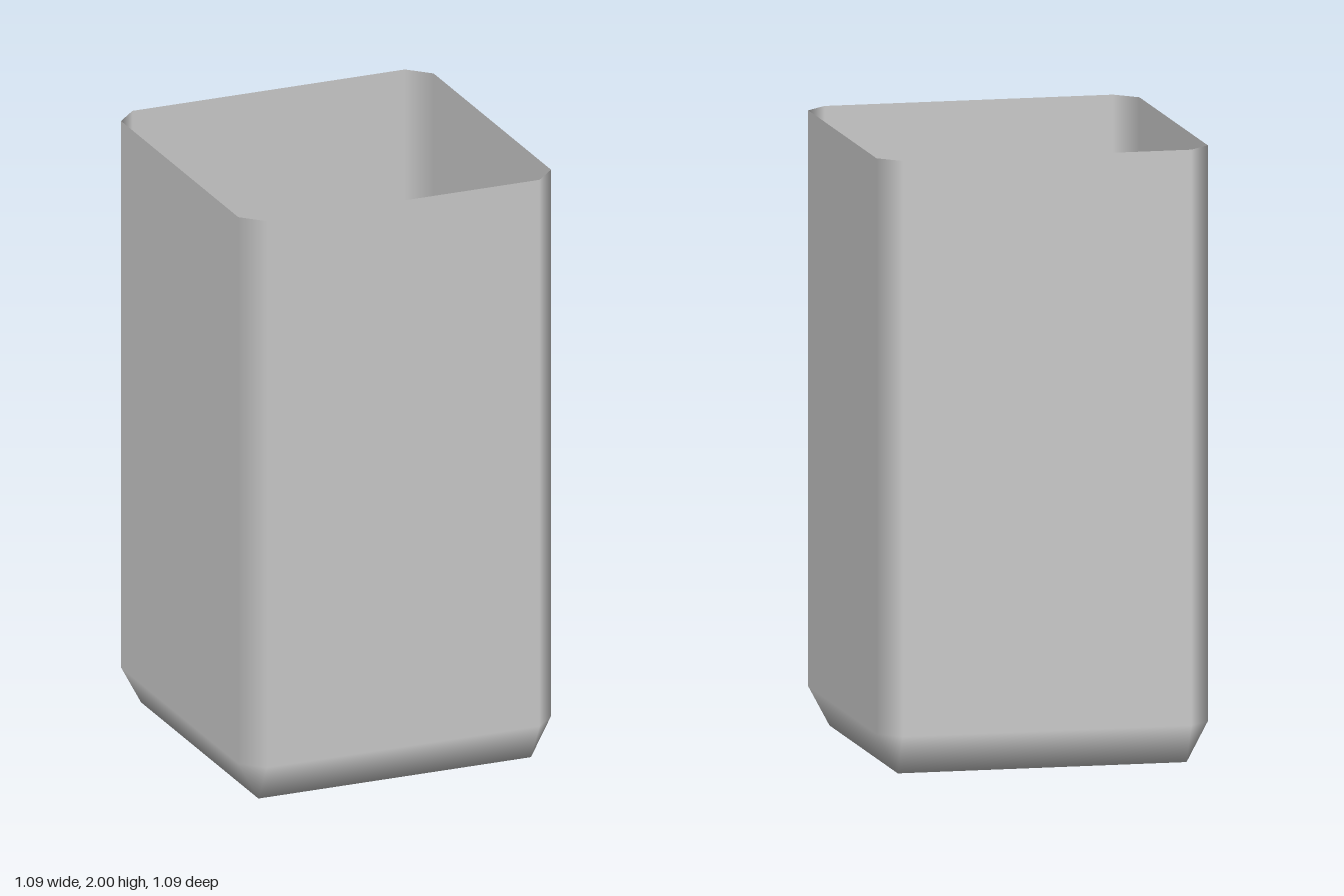
import * as THREE from 'three';

const W = 0.545;      // half width of the walls
const C = 0.475;      // where walls end and the corner bevels begin
const BASE = 0.13;    // height of the bottom bevel
const TOP = 2;

export function createModel() {
  const pos = [], nor = [], index = [];
  const vertex = (p, n) => { pos.push(...p); nor.push(...n); };
  const quad = (a, b, c, d) => index.push(a, b, c, a, c, d);
  const turn = (x, z, k) => {
    for (let i = 0; i < k; i++) [x, z] = [z, -x];
    return [x, z];
  };

  // Octagonal rings at the bevel and the rim; normals follow the flat walls
  // so that the bevels blend smoothly from wall to wall
  for (const y of [BASE, TOP]) {
    for (let k = 0; k < 4; k++) {
      for (const [px, pz, nx, nz] of [[W, -C, 1, 0], [C, -W, 0, -1]]) {
        const [x, z] = turn(px, pz, k);
        const [u, v] = turn(nx, nz, k);
        vertex([x, y, z], [u, 0, v]);
      }
    }
  }
  // Square floor corners
  for (let k = 0; k < 4; k++) {
    const [x, z] = turn(C, -C, k);
    vertex([x, 0, z], [0, -1, 0]);
  }

  // Walls and vertical corner bevels
  for (let i = 0; i < 8; i++) {
    const j = (i + 1) % 8;
    quad(i, j, j + 8, i + 8);
  }
  // Bottom bevels with a triangle at each corner
  for (let k = 0; k < 4; k++) {
    const a = 16 + k, b = 16 + (k + 1) % 4;
    index.push(a, 2 * k + 1, 2 * k);
    quad(a, b, (2 * k + 2) % 8, 2 * k + 1);
  }
  // Floor, facing down
  quad(16, 19, 18, 17);

  const geometry = new THREE.BufferGeometry();
  geometry.setAttribute('position', new THREE.Float32BufferAttribute(pos, 3));
  geometry.setAttribute('normal', new THREE.Float32BufferAttribute(nor, 3));
  geometry.setIndex(index);

  const container = new THREE.Mesh(
    geometry,
    new THREE.MeshStandardMaterial({ color: 0xcccccc, side: THREE.DoubleSide })
  );
  container.name = 'openContainer';

  const group = new THREE.Group();
  group.name = 'container';
  group.add(container);
  return group;
}
